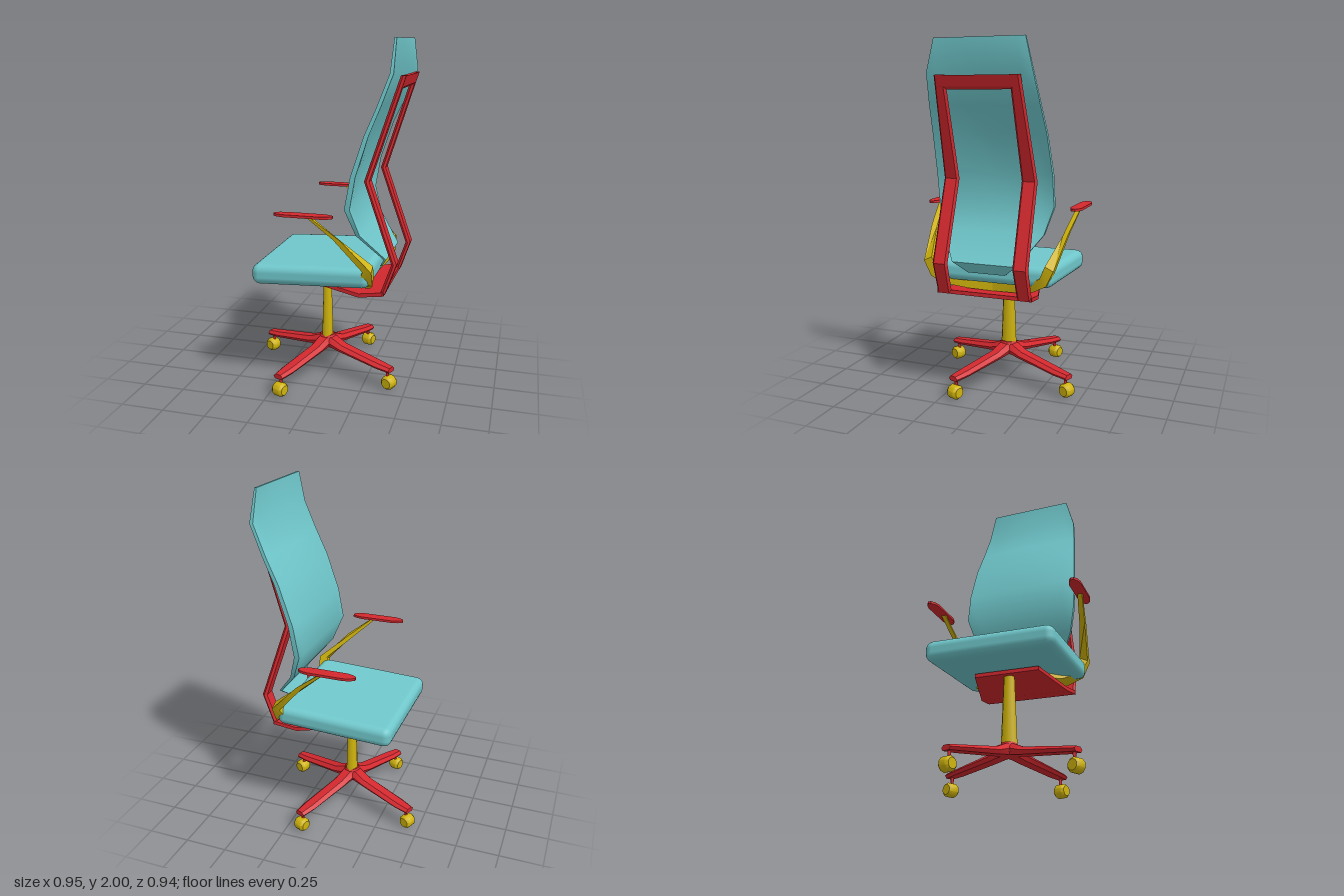
import * as THREE from 'three';
import { toCreasedNormals } from 'three/addons/utils/BufferGeometryUtils.js';
import { RoundedBoxGeometry } from 'three/addons/geometries/RoundedBoxGeometry.js';

const teal = new THREE.MeshStandardMaterial({ color: 0x70c8cc });
const red = new THREE.MeshStandardMaterial({ color: 0xd4282e });
const yellow = new THREE.MeshStandardMaterial({ color: 0xd0b40c });

// Closed solid through equal-sized rings of [x, y, z] points, wound outward.
function loft(rings, crease = 0.5) {
  const n = rings[0].length, pts = rings.flat(), tris = [];
  for (let i = 0; i < rings.length - 1; i++) {
    for (let j = 0; j < n; j++) {
      const a = i * n + j, b = i * n + (j + 1) % n;
      tris.push([a, b, b + n], [a, b + n, a + n]);
    }
  }
  // end caps, laddered so that thin or curved rings stay clean
  for (const [base, flip] of [[0, true], [(rings.length - 1) * n, false]]) {
    for (let lo = 0, hi = n - 1; lo + 1 < hi; lo++, hi--) {
      for (const t of [[lo, lo + 1, hi], [lo + 1, hi - 1, hi]]) {
        if (new Set(t).size < 3) continue;
        const [a, b, c] = t.map(k => base + k);
        tris.push(flip ? [a, c, b] : [a, b, c]);
      }
    }
  }
  // signed volume decides the winding
  const v = pts.map(p => new THREE.Vector3(...p));
  const vol = tris.reduce((s, [a, b, c]) => s + v[a].dot(v[b].clone().cross(v[c])), 0);
  const index = tris.flatMap(([a, b, c]) => vol < 0 ? [a, c, b] : [a, b, c]);
  const g = new THREE.BufferGeometry();
  g.setAttribute('position', new THREE.Float32BufferAttribute(pts.flat(), 3));
  g.setIndex(index);
  return toCreasedNormals(g, crease);
}

function add(parent, name, geometry, material) {
  const mesh = new THREE.Mesh(geometry, material);
  mesh.name = name;
  parent.add(mesh);
  return mesh;
}

// Four-star base with casters
function buildBase() {
  const base = new THREE.Group();
  base.name = 'base';
  base.position.x = -0.012;
  const leg = loft([
    [0, 0.05, 0.16, 0.225], [0.05, 0.048, 0.158, 0.22], [0.12, 0.046, 0.147, 0.19],
    [0.38, 0.044, 0.115, 0.148], [0.465, 0.033, 0.107, 0.136],
  ].map(([r, w, lo, hi]) => [
    [r, lo, -w * 0.7], [r, (lo + hi) / 2, -w], [r, hi, -w * 0.55],
    [r, hi, w * 0.55], [r, (lo + hi) / 2, w], [r, lo, w * 0.7],
  ]));
  const wheel = new THREE.LatheGeometry([
    [0, -0.036], [0.029, -0.036], [0.041, -0.022], [0.041, 0.022], [0.029, 0.036], [0, 0.036],
  ].map(p => new THREE.Vector2(...p)), 10);
  wheel.rotateX(Math.PI / 2);
  const wheelGeo = toCreasedNormals(wheel, 0.75);
  for (let i = 0; i < 4; i++) {
    const arm = new THREE.Group();
    arm.name = 'baseLeg' + (i + 1);
    arm.rotation.y = -THREE.MathUtils.degToRad(22) + i * Math.PI / 2;
    add(arm, 'leg', leg, red);
    add(arm, 'casterStem', new THREE.CylinderGeometry(0.009, 0.009, 0.06, 8), red)
      .position.set(0.44, 0.09, 0);
    add(arm, 'caster', wheelGeo, yellow).position.set(0.45, 0.041, 0);
    base.add(arm);
  }
  add(base, 'hub', new THREE.CylinderGeometry(0.045, 0.07, 0.06, 8), red).position.y = 0.203;
  const column = add(base, 'column', new THREE.CylinderGeometry(0.023, 0.035, 0.42, 8), yellow);
  column.position.y = 0.43;
  column.scale.z = 1.38;
  return base;
}

// Under-seat plate and the angular, bevelled loop behind the backrest
function buildFrame() {
  const frame = new THREE.Group();
  frame.name = 'backFrame';
  const t = 0.014, bevel = 0.012;
  add(frame, 'underSeatPlate', loft([
    [-0.06, 0.63, 0.19], [0.24, 0.595, 0.27], [0.385, 0.618, 0.28],
  ].map(([x, y, w]) => [[x, y - 0.011, -w], [x, y - 0.011, w], [x, y + 0.011, w], [x, y + 0.011, -w]])), red);
  const path = [
    [0.375, 0.612, 0.28, 0.195], [0.437, 0.79, 0.28, 0.19],
    [0.278, 1.245, 0.275, 0.185], [0.46, 1.808, 0.243, 0.18],
  ];
  for (const s of [1, -1]) {
    add(frame, s > 0 ? 'leftUpright' : 'rightUpright', loft(path.map(([x, y, o, i]) => [
      [x - t, y, s * (i + bevel)], [x, y, s * i], [x + t, y, s * (i + bevel)],
      [x + t, y, s * (o - bevel)], [x, y, s * o], [x - t, y, s * (o - bevel)],
    ])), red);
  }
  add(frame, 'topBar', loft([-0.232, 0.232].map(z => [
    [0.441 - t, 1.747, z], [0.437, 1.733, z], [0.441 + t, 1.747, z],
    [0.46 + t, 1.806, z], [0.46 - t, 1.806, z],
  ])), red);
  return frame;
}

// Thin shell backrest: curved in profile, bowed forward above the lumbar, slightly twisted
function buildBackrest() {
  // y, x of the side edge, half width, forward bow, twist, thickness
  const rows = [
    [2.0, 0.42, 0.26, 0.0, 0.006, 0.012], [1.82, 0.418, 0.307, 0.012, 0.016, 0.02],
    [1.65, 0.349, 0.323, 0.022, 0.01, 0.022], [1.5, 0.28, 0.335, 0.028, 0.004, 0.025],
    [1.28, 0.206, 0.345, 0.016, 0, 0.028], [1.1, 0.174, 0.345, 0.002, 0, 0.03],
    [0.95, 0.23, 0.303, 0, 0, 0.022], [0.79, 0.365, 0.19, 0, 0, 0.014],
    [0.728, 0.33, 0.11, 0, 0, 0.012],
  ];
  const across = [-1, -0.8, -0.4, 0, 0.4, 0.8, 1];
  return loft(rows.map(([y, x, w, bow, twist, thick]) => {
    const at = (u, off) => [x - bow * (1 - u * u) - twist * u + off, y, u * w];
    return [
      ...across.map(u => at(u, 0)),
      ...[...across].reverse().map(u => at(u, thick)),
    ];
  }), 1.0);
}

// Yoke under the seat with tapering arms, and a pad on each arm
function buildArms() {
  const arms = new THREE.Group();
  arms.name = 'arms';
  // x, y, z, then half sizes in x, z and y
  const half = [
    [0.13, 0.642, 0.0, 0.12, 0, 0.034], [0.16, 0.646, 0.14, 0.11, 0, 0.03],
    [0.24, 0.665, 0.25, 0.065, 0.01, 0.026], [0.295, 0.705, 0.325, 0.04, 0.018, 0.02],
    [0.312, 0.785, 0.362, 0.024, 0.024, 0.012], [0.15, 0.945, 0.402, 0.018, 0.016, -0.006],
    [0.0, 1.072, 0.43, 0.01, 0.013, 0],
  ];
  const pad = new THREE.Shape();
  pad.moveTo(-0.13, -0.034);
  for (const p of [[0.075, -0.034], [0.112, -0.025], [0.135, -0.009], [0.135, 0.009], [0.112, 0.025],
    [0.075, 0.034], [-0.13, 0.034], [-0.167, 0.025], [-0.19, 0.009], [-0.19, -0.009], [-0.167, -0.025]]) pad.lineTo(...p);
  const padGeo = new THREE.ExtrudeGeometry(pad, { depth: 0.014, bevelEnabled: false });
  padGeo.rotateX(-Math.PI / 2);
  for (const s of [1, -1]) {
    const side = s > 0 ? 'left' : 'right';
    // the lower corners become the outer ones as the section turns upward
    add(arms, side + 'Arm', loft(half.map(([x, y, z, dx, dz, dy]) => [
      [x - dx, y - dy, s * (z + dz)], [x + dx, y - dy, s * (z + dz)],
      [x + dx, y + dy, s * (z - dz)], [x - dx, y + dy, s * (z - dz)],
    ])), yellow);
    add(arms, side + 'ArmPad', padGeo, red).position.set(0, 1.071, s * 0.436);
  }
  return arms;
}

export function createModel() {
  const chair = new THREE.Group();
  chair.name = 'officeChair';
  chair.add(buildBase(), buildFrame(), buildArms());
  const seat = add(chair, 'seat', new RoundedBoxGeometry(0.685, 0.118, 0.74, 2, 0.045), teal);
  seat.position.set(-0.022, 0.709, 0);
  seat.rotation.z = 0.045;
  add(chair, 'backrest', buildBackrest(), teal);
  return chair;
}
